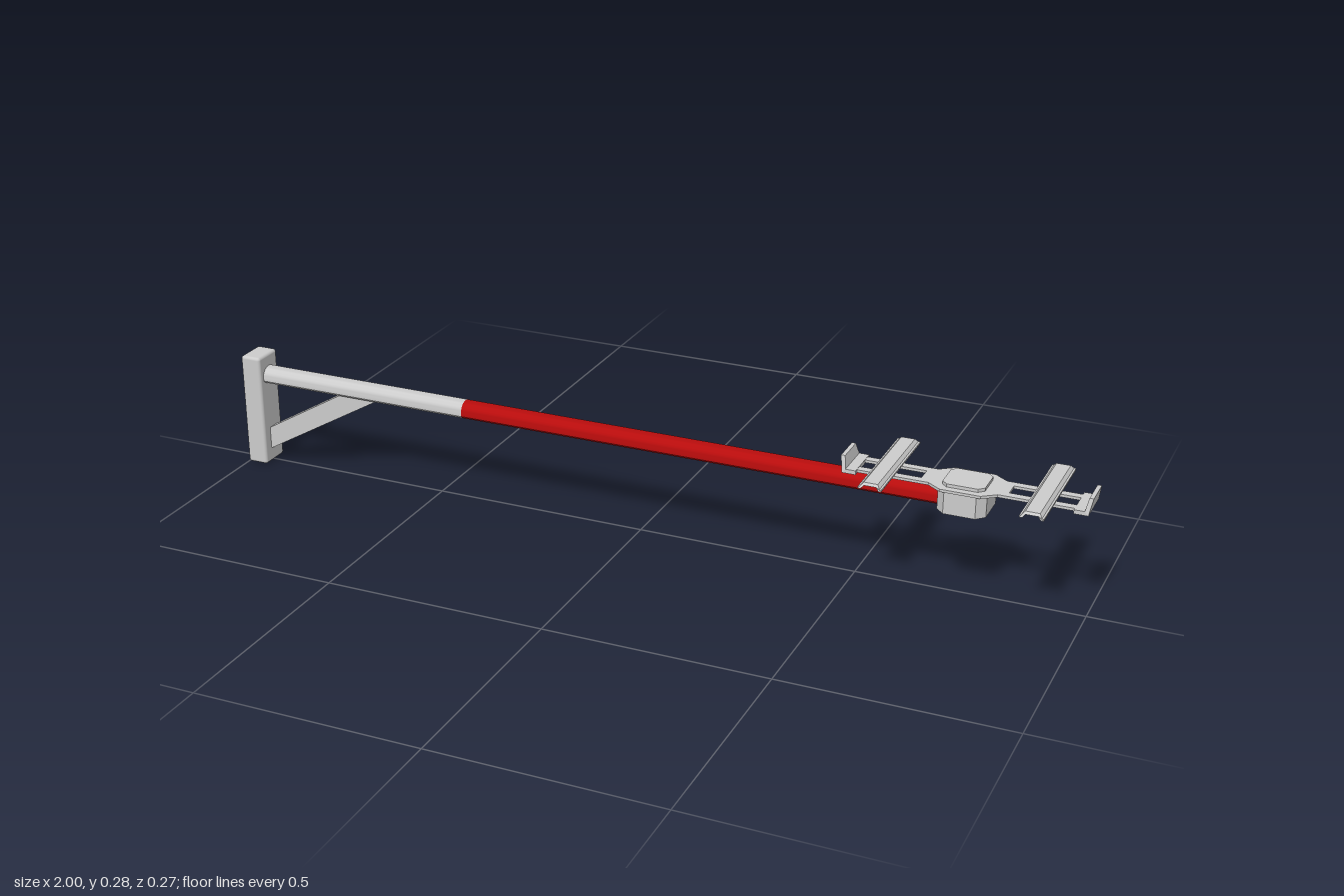
import * as THREE from 'three';
import { RoundedBoxGeometry } from 'three/addons/geometries/RoundedBoxGeometry.js';
import { toCreasedNormals } from 'three/addons/utils/BufferGeometryUtils.js';

const grey = new THREE.MeshStandardMaterial({ color: 0xcccccc });
const red = new THREE.MeshStandardMaterial({ color: 0xb80c0c });

const shapeOf = (pts) => new THREE.Shape(pts.map(([x, y]) => new THREE.Vector2(x, y)));

// Extrusion centred on its depth, with soft curves and sharp edges
function extrude(shape, depth) {
  const g = new THREE.ExtrudeGeometry(shape, { depth, bevelEnabled: false, curveSegments: 8 });
  g.translate(0, 0, -depth / 2);
  return toCreasedNormals(g, 0.6);
}

// Outline drawn in x and z, lying flat from y upward
function slab(shape, y, height) {
  return extrude(shape, height).rotateX(-Math.PI / 2).translate(0, y + height / 2, 0);
}

// Rail cross-section: domed top, rounded sides, open slot underneath
function railShape() {
  const w = 0.024, h = 0.036, t = 0.005, slot = 0.008, outer = [], inner = [];
  for (let i = 0; i <= 16; i++) {
    const a = (i / 16) * Math.PI, c = Math.cos(a), s = Math.sin(a);
    outer.push([w * c, h - 0.022 + 0.022 * s]);
    inner.push([(w - t) * c, h - 0.022 + (0.022 - t) * s]);
  }
  return shapeOf([
    [slot, 0], [w - 0.004, 0], [w, 0.005], ...outer, [-w, 0.005], [-w + 0.004, 0], [-slot, 0],
    [-slot, t], [-w + t, t], ...inner.reverse(), [w - t, t], [slot, t],
  ]);
}

function octagon(x, w, d, c) {
  return shapeOf([[x - w + c, -d], [x + w - c, -d], [x + w, -d + c], [x + w, d - c],
    [x + w - c, d], [x - w + c, d], [x - w, d - c], [x - w, -d + c]]);
}

export function createModel() {
  const model = new THREE.Group();
  const add = (name, geometry, material = grey, parent = model) => {
    const m = new THREE.Mesh(geometry, material);
    m.name = name;
    parent.add(m);
    return m;
  };

  // Wall post and diagonal brace
  add('wallPost', new RoundedBoxGeometry(0.05, 0.268, 0.075, 3, 0.007).translate(-0.975, 0.134, 0));
  add('brace', extrude(shapeOf([[-0.955, 0.03], [-0.65, 0.205], [-0.745, 0.205], [-0.955, 0.083]]), 0.025));

  // Slotted rail: bare part, then red part with a lining
  const rail = (x0, x1) => extrude(railShape(), x1 - x0).rotateY(Math.PI / 2).translate((x0 + x1) / 2, 0.203, 0);
  add('bareRail', rail(-0.955, -0.43));
  add('redRail', rail(-0.43, 0.69), red);
  add('railLining', new THREE.BoxGeometry(1.11, 0.012, 0.034).translate(0.13, 0.215, 0));

  // Head block at the rail's end
  const head = new THREE.Group();
  head.name = 'head';
  model.add(head);
  add('headBlock', slab(octagon(0.733, 0.052, 0.055, 0.018), 0.2, 0.05), grey, head);
  add('headCap', slab(octagon(0.733, 0.045, 0.042, 0.012), 0.25, 0.012), grey, head);

  // Slotted carrier plate flaring over the head
  const carrier = new THREE.Group();
  carrier.name = 'carrier';
  model.add(carrier);
  const half = [[0.49, 0.036], [0.66, 0.036], [0.69, 0.058], [0.776, 0.058], [0.806, 0.036], [0.985, 0.036]];
  const plate = shapeOf([...half.map(([x, z]) => [x, -z]), ...half.slice().reverse()]);
  for (const [a, b] of [[0.505, 0.64], [0.825, 0.975]]) {
    plate.holes.push(new THREE.Path([[a, -0.018], [a, 0.018], [b, 0.018], [b, -0.018]]
      .map(([x, z]) => new THREE.Vector2(x, z))));
  }
  add('carrierPlate', slab(plate, 0.249, 0.006), grey, carrier);

  // Cross arms: shallow folded channels with sloping ends
  const armProfile = [[-0.025, 0.261], [-0.019, 0.261], [-0.013, 0.268], [0.013, 0.268], [0.019, 0.261],
    [0.025, 0.261], [0.025, 0.265], [0.021, 0.266], [0.015, 0.273], [-0.015, 0.273], [-0.021, 0.266], [-0.025, 0.265]];
  for (const x of [0.565, 0.9]) {
    const g = new THREE.ExtrudeGeometry(shapeOf(armProfile), { depth: 0.266, bevelEnabled: false });
    g.translate(0, 0, -0.133);
    const p = g.attributes.position;
    for (let i = 0; i < p.count; i++) {
      p.setZ(i, Math.sign(p.getZ(i)) * (0.133 - Math.max(0, p.getY(i) - 0.265)));
    }
    g.translate(x, 0, 0);
    add('crossArm', toCreasedNormals(g, 0.4), grey, carrier);
    for (const z of [-0.027, 0.027]) {
      add('armSpacer', new THREE.BoxGeometry(0.022, 0.016, 0.012).translate(x, 0.261, z), grey, carrier);
    }
  }

  // Upturned end stops, tapering toward the top
  const stopProfile = [[-0.03, 0.247], [0, 0.247], [0.006, 0.282], [-0.003, 0.282], [-0.008, 0.256], [-0.03, 0.256]];
  for (const side of [-1, 1]) {
    const g = new THREE.ExtrudeGeometry(shapeOf(stopProfile), { depth: 0.09, bevelEnabled: false });
    g.translate(0, 0, -0.045);
    const p = g.attributes.position;
    for (let i = 0; i < p.count; i++) {
      p.setZ(i, Math.sign(p.getZ(i)) * (0.045 - Math.max(0, p.getY(i) - 0.256) * 0.4));
    }
    if (side < 0) g.rotateY(Math.PI);
    g.translate(side < 0 ? 0.476 : 0.994, 0, 0);
    add('endStop', toCreasedNormals(g, 0.4), grey, carrier);
  }
  return model;
}
